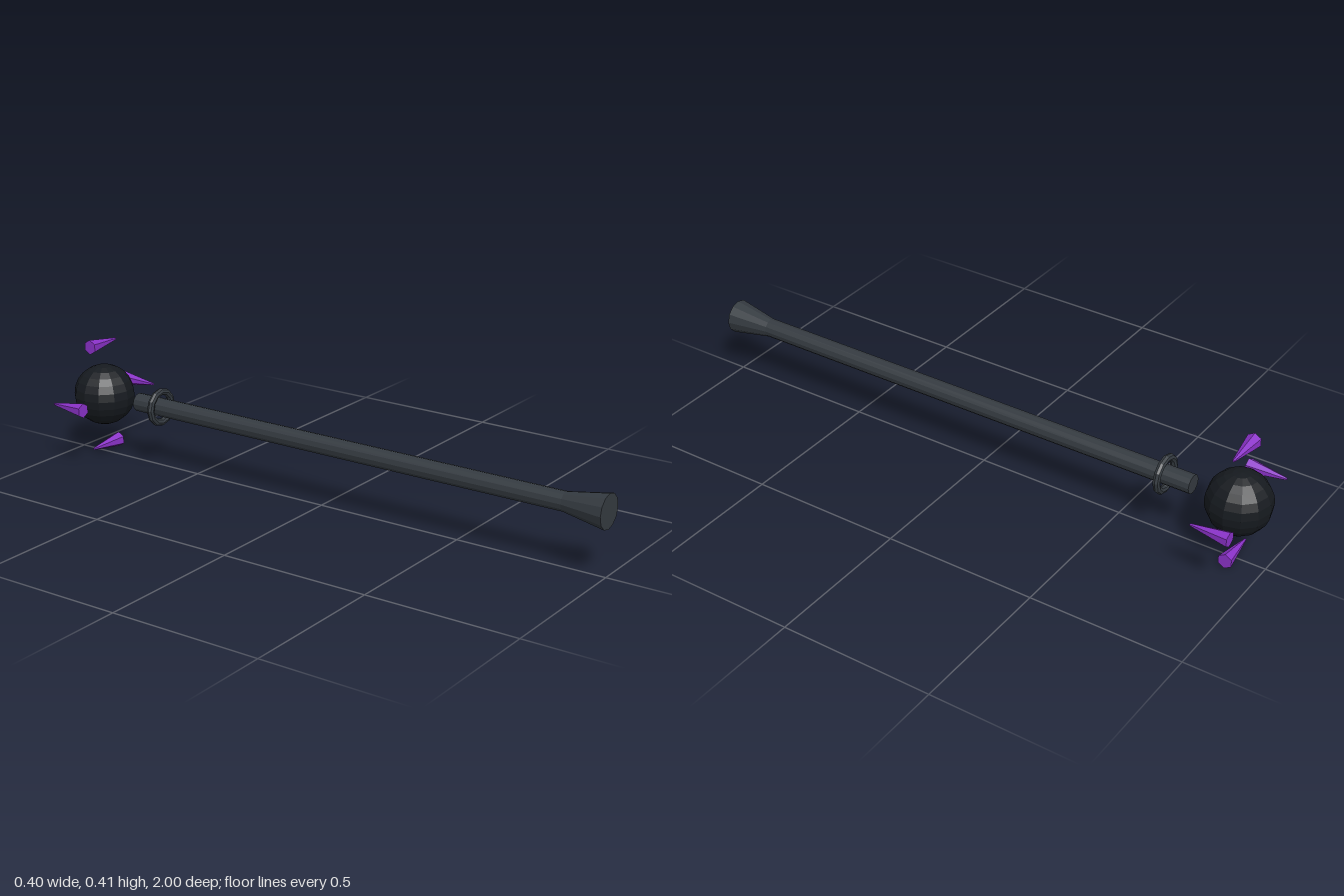
import * as THREE from 'three';

const AXIS_Y = 0.205; // height of the staff's axis
const ORB_Z = -0.897;

const material = (color) => new THREE.MeshStandardMaterial({ color, flatShading: true });

export function createModel() {
  const model = new THREE.Group();
  const iron = material(0x343a40);
  const black = material(0x161a1f);
  const purple = material(0x8a32c8);

  const add = (name, geometry, mat, x, y, z) => {
    const mesh = new THREE.Mesh(geometry, mat);
    mesh.name = name;
    mesh.position.set(x, AXIS_Y + y, z);
    model.add(mesh);
    return mesh;
  };

  // Cylinder lying along z, given its front and back radii
  const rod = (front, back, length, sides) =>
    new THREE.CylinderGeometry(front, back, length, sides).rotateX(Math.PI / 2);

  // Straight shaft and flared pommel
  add('shaft', rod(0.031, 0.031, 1.605, 12), iron, 0, 0, 0.0575);
  add('pommel', rod(0.056, 0.031, 0.14, 12), iron, 0, 0, 0.93);

  // Loose ring around the shaft
  add('collarRing', new THREE.TorusGeometry(0.053, 0.012, 8, 12), iron, 0, 0, -0.65);

  // Floating orb
  add('orb', new THREE.SphereGeometry(0.103, 12, 12), black, 0, 0, ORB_Z);

  // Four blunt shards circling the orb, each pointing along its tangent
  const shard = rod(0.025, 0.004, 0.128, 6);
  const orbit = 0.179;
  const shards = [
    ['topShard', 0, 1, -Math.PI / 2],
    ['bottomShard', 0, -1, Math.PI / 2],
    ['leftShard', 1, 0, Math.PI],
    ['rightShard', -1, 0, 0],
  ];
  for (const [name, x, y, turn] of shards) {
    add(name, shard, purple, x * orbit, y * orbit, ORB_Z).rotation.y = turn;
  }

  return model;
}
